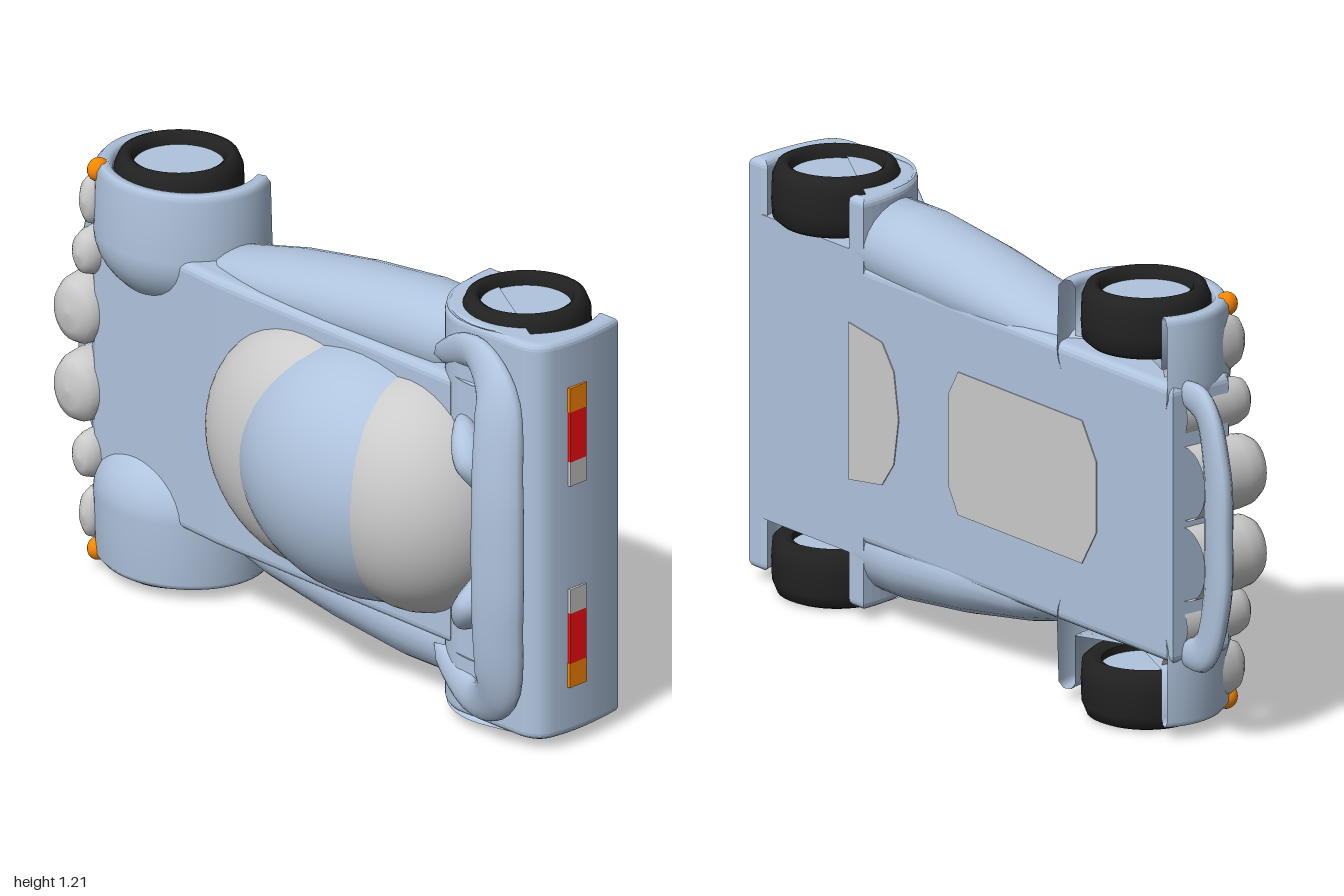
import * as THREE from 'three';

// The car lies on its side: x runs nose (-) to tail (+), y is its width, z its height.
const mat = (color) => new THREE.MeshStandardMaterial({ color, side: THREE.DoubleSide });
const paint = mat(0xb0c4de), glass = mat(0xcccccc), rubber = mat(0x222222);
const amber = mat(0xff8800), red = mat(0xff1010);
const V = (x, y, z) => new THREE.Vector3(x, y, z);
const P = (a) => a.map(([x, y]) => new THREE.Vector2(x, y));

// Copy of a geometry reflected across the car's centre plane, winding kept outward
function mirrored(geo) {
  const g = (geo.index ? geo.toNonIndexed() : geo.clone()).applyMatrix4(new THREE.Matrix4().makeScale(1, -1, 1));
  for (const a of Object.values(g.attributes)) {
    const n = a.itemSize;
    for (let i = 0; i < a.count; i += 3)
      for (let k = 0; k < n; k++) {
        const p = (i + 1) * n + k, q = (i + 2) * n + k;
        [a.array[p], a.array[q]] = [a.array[q], a.array[p]];
      }
  }
  return g;
}

// Side profile (x, z) extruded across the width from y0 to y1
function slab(shape, y0, y1, bevel) {
  const depth = y1 - y0 - 2 * bevel;
  const g = new THREE.ExtrudeGeometry(shape, {
    depth, bevelEnabled: bevel > 0, bevelSize: bevel, bevelThickness: bevel,
    bevelOffset: -bevel, bevelSegments: 4, curveSegments: 16,
  });
  return g.translate(0, 0, -depth / 2).rotateX(Math.PI / 2).translate(0, (y0 + y1) / 2, 0);
}

// Closed rings of points joined into a smooth skin
function skin(rings) {
  const n = rings[0].length, pos = [], idx = [];
  rings.forEach((r) => r.forEach((p) => pos.push(p.x, p.y, p.z)));
  for (let i = 0; i < rings.length - 1; i++)
    for (let j = 0; j < n; j++) {
      const a = i * n + j, b = i * n + (j + 1) % n;
      idx.push(a, b, a + n, b, b + n, a + n);
    }
  const g = new THREE.BufferGeometry();
  g.setAttribute('position', new THREE.Float32BufferAttribute(pos, 3));
  g.setIndex(idx);
  g.computeVertexNormals();
  return g;
}

// Flattened bar swept along a path, its blade tilted in z, tapering to the ends
function blade(points, wide, thick, tilt) {
  const curve = new THREE.CatmullRomCurve3(points), rings = [];
  for (let i = 0; i <= 48; i++) {
    const t = i / 48, c = curve.getPoint(t), d = curve.getTangent(t);
    const n = V(d.y, -d.x, 0).normalize();
    const f = Math.max(0.02, Math.pow(Math.sin(Math.PI * t), 0.35));
    rings.push(Array.from({ length: 16 }, (_, j) => {
      const a = (j / 16) * Math.PI * 2, u = Math.cos(a) * wide * f;
      return V(c.x + n.x * u, c.y + n.y * u, c.z + Math.sin(a) * thick * f + tilt * n.x * u);
    }));
  }
  return skin(rings);
}

export function createModel() {
  const model = new THREE.Group(), car = new THREE.Group();
  car.name = 'car';
  car.position.y = 0.605;
  model.add(car);
  const add = (name, geo, m = paint) => {
    const mesh = new THREE.Mesh(geo, m);
    mesh.name = name;
    car.add(mesh);
  };
  const pair = (name, geo, m = paint) => {
    add(name + 'Left', geo, m);
    add(name + 'Right', mirrored(geo), m);
  };

  // Fuselage with a sloping nose
  const hull = new THREE.Shape(P([[-0.8, -0.24], [0.65, -0.24], [0.65, 0.06], [-0.25, 0.045], [-0.74, 0], [-0.8, -0.05]]));
  add('fuselage', slab(hull, -0.39, 0.39, 0.025));

  // Tail block: solid centre, arched outer ends
  const tailTop = (s) => {
    s.lineTo(0.98, -0.24);
    s.quadraticCurveTo(1.005, -0.1, 0.985, 0);
    s.quadraticCurveTo(0.975, 0.062, 0.9, 0.065);
    s.lineTo(0.68, 0.065);
    s.bezierCurveTo(0.57, 0.05, 0.5, -0.08, 0.5, -0.24);
    return s;
  };
  const core = new THREE.Shape();
  core.moveTo(0.5, -0.24);
  add('tailCore', slab(tailTop(core), -0.425, 0.425, 0));
  const arch = new THREE.Shape();
  arch.moveTo(0.53, -0.24);
  arch.lineTo(0.56, -0.24);
  arch.absarc(0.74, -0.14, 0.195, Math.PI + 0.5, -0.5, true);
  arch.lineTo(0.93, -0.24);
  pair('rearFender', slab(tailTop(arch), 0.4, 0.575, 0.02));

  // Front fenders: round drum with a domed inner end and a wheel well
  const fenderProfile = [[0, 0.42], [0.2, 0.42], [0.2, 0.555], [0.212, 0.572], [0.235, 0.572], [0.25, 0.555]];
  for (let i = 0; i <= 10; i++) {
    const a = (i / 10) * Math.PI / 2;
    fenderProfile.push([0.255 * Math.cos(a), 0.38 - 0.195 * Math.sin(a)]);
  }
  pair('frontFender', new THREE.LatheGeometry(P(fenderProfile), 36, -2, 4)
    .scale(1, 1, 0.91).translate(-0.55, 0, -0.148));

  // Side pods, widening towards the tail
  const podRings = [[-0.42, 0.36, 0.01, 0.02], [-0.3, 0.36, 0.06, 0.1], [-0.1, 0.38, 0.09, 0.13],
    [0.15, 0.4, 0.115, 0.14], [0.4, 0.42, 0.125, 0.14], [0.55, 0.425, 0.12, 0.135], [0.62, 0.42, 0.06, 0.08]]
    .map(([x, y, ry, rz]) => Array.from({ length: 24 }, (_, j) => {
      const a = (j / 24) * Math.PI * 2;
      return V(x, y + ry * Math.cos(a), -0.105 + rz * Math.sin(a));
    }));
  pair('sidePod', skin(podRings));

  // Wheels
  const tyre = new THREE.LatheGeometry(P([[0.12, 0.45], [0.15, 0.435], [0.172, 0.455], [0.175, 0.5],
    [0.173, 0.565], [0.16, 0.597], [0.142, 0.605], [0.125, 0.595], [0.12, 0.56], [0.12, 0.45]]), 40);
  const rim = new THREE.CylinderGeometry(0.122, 0.122, 0.1, 32).translate(0, 0.52, 0);
  for (const [name, x] of [['front', -0.56], ['rear', 0.74]]) {
    pair(name + 'Tyre', tyre.clone().translate(x, 0, -0.135), rubber);
    pair(name + 'Rim', rim.clone().translate(x, 0, -0.135));
  }

  // Cabin: roof dome between front and rear glass domes
  const dome = (name, x, rx, ry, rz, m) => add(name,
    new THREE.SphereGeometry(1, 40, 16, 0, Math.PI * 2, 0, Math.PI / 2).rotateX(Math.PI / 2).scale(rx, ry, rz).translate(x, 0, 0), m);
  dome('windscreen', 0.1, 0.365, 0.345, 0.225, glass);
  dome('roof', 0.31, 0.42, 0.355, 0.305, paint);
  dome('rearWindow', 0.5, 0.29, 0.34, 0.276, glass);

  // Glass panels in the floor
  const panel = (name, pts) => add(name, new THREE.ExtrudeGeometry(new THREE.Shape(P(pts)),
    { depth: 0.004, bevelEnabled: false }).translate(0, 0, -0.243), glass);
  panel('rearFloorPanel', [[0.56, -0.22], [0.56, 0.22], [0.42, 0.2], [0.37, 0.13], [0.35, 0], [0.37, -0.13], [0.42, -0.2]]);
  panel('frontFloorPanel', [[0.14, -0.13], [0.14, 0.13], [0.1, 0.2], [-0.42, 0.2], [-0.48, 0.1], [-0.48, -0.1], [-0.42, -0.2], [0.1, -0.2]]);

  // Front bumper and rear spoiler
  add('frontBumper', blade([V(-0.76, -0.37, -0.19), V(-0.87, -0.34, -0.19), V(-0.925, -0.18, -0.19),
    V(-0.93, 0, -0.19), V(-0.925, 0.18, -0.19), V(-0.87, 0.34, -0.19), V(-0.76, 0.37, -0.19)], 0.07, 0.035, 0.3));
  add('rearSpoiler', blade([V(0.56, -0.42, 0.03), V(0.76, -0.5, 0.08), V(0.885, -0.43, 0.125), V(0.92, -0.2, 0.155),
    V(0.925, 0, 0.16), V(0.92, 0.2, 0.155), V(0.885, 0.43, 0.125), V(0.76, 0.5, 0.08), V(0.56, 0.42, 0.03)], 0.075, 0.035, -0.25));

  // Curved struts around the back of the cabin
  pair('rearStrut', blade([V(0.66, 0.27, 0.03), V(0.74, 0.26, 0.1), V(0.795, 0.2, 0.12), V(0.82, 0.12, 0.07), V(0.82, 0.08, 0.03)], 0.045, 0.05, 0));

  // Lamps along the nose
  const lampProfile = P([[1, -0.2], [1, -0.04], [0.95, 0], [0.8, 0.026], [0.5, 0.04], [0, 0.046]]);
  const lamp = (name, x, y, rx, ry, m) => pair(name, new THREE.LatheGeometry(lampProfile, 28)
    .rotateX(Math.PI / 2).scale(rx, ry, 1).translate(x, y, 0), m);
  lamp('headlamp', -0.8, 0.113, 0.085, 0.103, glass);
  lamp('innerLamp', -0.76, 0.295, 0.05, 0.07, glass);
  lamp('outerLamp', -0.74, 0.455, 0.04, 0.08, glass);
  pair('frontIndicator', new THREE.SphereGeometry(1, 16, 12).scale(0.028, 0.033, 0.033).translate(-0.715, 0.55, 0.012), amber);

  // Tail lamps and centre brake light
  const box = (x, y, z, w, h, d) => new THREE.BoxGeometry(w, h, d).translate(x, y, z);
  pair('rearIndicator', box(0.982, 0.4, -0.07, 0.036, 0.07, 0.064), amber);
  pair('tailLamp', box(0.982, 0.2925, -0.07, 0.036, 0.145, 0.06), red);
  pair('reverseLamp', box(0.982, 0.185, -0.07, 0.036, 0.07, 0.06), glass);
  add('brakeLight', box(0.8, 0, 0.075, 0.04, 0.145, 0.03), red);

  return model;
}
